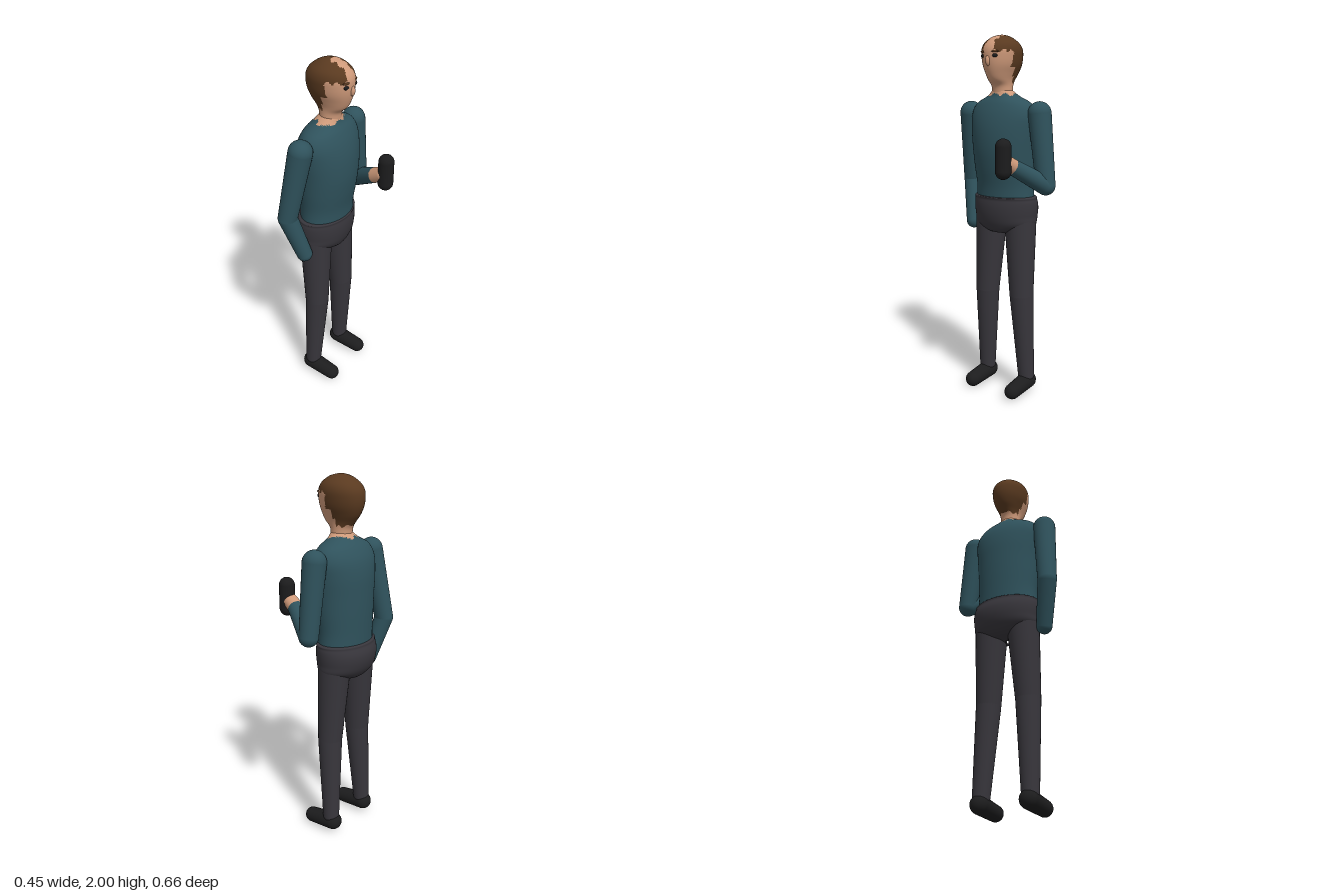
import * as THREE from 'three';

const COLORS = {
  sweater: 0x2f525c, trousers: 0x38363c, shoe: 0x1d1d1e, hair: 0x5a3a20, skin: 0xcf9a7a, dark: 0x1c1c1d,
};
const materials = {};
for (const key in COLORS) materials[key] = new THREE.MeshStandardMaterial({ color: COLORS[key] });

function addMesh(parent, name, geometry, material) {
  const mesh = new THREE.Mesh(geometry, materials[material]);
  mesh.name = name;
  parent.add(mesh);
  return mesh;
}

// Smooth stack of ellipses; each row is [y, back x, front x, half width in z]
function loft(rows, steps = 40, sides = 56) {
  const curve = (k) => new THREE.CatmullRomCurve3(
    rows.map((r) => new THREE.Vector3(r[k], r[0], r[3])), false, 'catmullrom', 0.5);
  const back = curve(1), front = curve(2);
  const pos = [], index = [];
  for (let j = 0; j <= steps; j++) {
    const b = back.getPoint(j / steps), f = front.getPoint(j / steps);
    for (let i = 0; i < sides; i++) {
      const a = (i / sides) * Math.PI * 2;
      pos.push((b.x + f.x) / 2 + ((f.x - b.x) / 2) * Math.cos(a), b.y, b.z * Math.sin(a));
      if (j === steps) continue;
      const p = j * sides + i, q = j * sides + ((i + 1) % sides);
      index.push(p, p + sides, q, q, p + sides, q + sides);
    }
  }
  const geometry = new THREE.BufferGeometry();
  geometry.setAttribute('position', new THREE.Float32BufferAttribute(pos, 3));
  geometry.setIndex(index);
  geometry.computeVertexNormals();
  return geometry;
}

// Splits a geometry's faces in two by a rule on the face centre
function split(geometry, rule) {
  const p = geometry.attributes.position, idx = geometry.index.array;
  const yes = [], no = [];
  for (let t = 0; t < idx.length; t += 3) {
    const c = new THREE.Vector3();
    for (let k = 0; k < 3; k++) c.add(new THREE.Vector3().fromBufferAttribute(p, idx[t + k]));
    c.divideScalar(3);
    (rule(c.x, c.y, c.z) ? yes : no).push(idx[t], idx[t + 1], idx[t + 2]);
  }
  return [yes, no].map((list) => geometry.clone().setIndex(list));
}

// Tapered round limb through joints [x, y, z, radius]
function addLimb(parent, name, joints, material) {
  const limb = new THREE.Group();
  limb.name = name;
  parent.add(limb);
  joints.forEach(([x, y, z, r], i) => {
    addMesh(limb, name + 'Joint', new THREE.SphereGeometry(r, 28, 18), material).position.set(x, y, z);
    if (i === 0) return;
    const [px, py, pz, pr] = joints[i - 1];
    const from = new THREE.Vector3(px, py, pz), to = new THREE.Vector3(x, y, z);
    const dir = to.clone().sub(from);
    const segment = addMesh(limb, name + 'Segment',
      new THREE.CylinderGeometry(r, pr, dir.length(), 28, 1, true), material);
    segment.position.copy(from).add(to).multiplyScalar(0.5);
    segment.quaternion.setFromUnitVectors(new THREE.Vector3(0, 1, 0), dir.normalize());
  });
  return limb;
}

export function createModel() {
  const model = new THREE.Group();
  model.name = 'standingFigure';

  // Sweater body, with an uneven collar edge showing the neck
  const torso = loft([
    [1.12, -0.2, 0.05, 0.175], [1.2, -0.202, 0.055, 0.172], [1.3, -0.205, 0.072, 0.18],
    [1.4, -0.206, 0.083, 0.187], [1.5, -0.204, 0.08, 0.197], [1.58, -0.19, 0.064, 0.2],
    [1.64, -0.16, 0.04, 0.17], [1.68, -0.125, 0.015, 0.095], [1.71, -0.1, 0.008, 0.055],
  ]);
  const [sweater, collarSkin] = split(torso, (x, y, z) => y < 1.688 + 0.008 * Math.sin(90 * z + 60 * x));
  addMesh(model, 'sweaterBody', sweater, 'sweater');
  addMesh(model, 'neckBase', collarSkin, 'skin');

  // Pelvis
  addMesh(model, 'trouserSeat', loft([
    [0.925, -0.09, -0.05, 0.012], [0.94, -0.165, 0.015, 0.1], [0.98, -0.203, 0.04, 0.18], [1.03, -0.222, 0.053, 0.19],
    [1.08, -0.225, 0.057, 0.194], [1.12, -0.213, 0.054, 0.19], [1.14, -0.2, 0.048, 0.172], [1.142, -0.1, -0.05, 0.01],
  ]), 'trousers');

  // Legs and shoes
  for (const s of [1, -1]) {
    const side = s > 0 ? 'right' : 'left';
    addLimb(model, side + 'Leg', [
      [-0.08, 1.0, s * 0.1, 0.089], [-0.067, 0.58, s * 0.12, 0.067], [-0.09, 0.1, s * 0.14, 0.046],
    ], 'trousers');
    addLimb(model, side + 'Shoe', [
      [-0.105, 0.065, s * 0.14, 0.049], [0.048, 0.045, s * 0.142, 0.043],
    ], 'shoe');
  }

  // Hanging arm and bent arm
  addLimb(model, 'hangingArm', [
    [-0.063, 1.59, 0.232, 0.063], [-0.128, 1.205, 0.276, 0.052], [-0.068, 0.968, 0.222, 0.043],
  ], 'sweater');
  addLimb(model, 'bentArm', [
    [-0.063, 1.59, -0.232, 0.063], [-0.06, 1.212, -0.278, 0.052], [0.105, 1.315, -0.192, 0.043],
  ], 'sweater');
  addLimb(model, 'hand', [[0.11, 1.318, -0.189, 0.042], [0.16, 1.345, -0.178, 0.04]], 'skin');

  // Rounded object held upright
  addMesh(model, 'heldObject', new THREE.CapsuleGeometry(0.042, 0.126, 12, 32), 'dark')
    .position.set(0.182, 1.364, -0.178);

  // Head: hair is the upper and rear part, with a bald strip on the crown
  const skull = loft([
    [1.66, -0.1, 0.01, 0.056], [1.7, -0.102, 0.01, 0.056], [1.735, -0.108, 0.018, 0.056],
    [1.765, -0.128, 0.05, 0.061], [1.8, -0.154, 0.068, 0.074], [1.84, -0.171, 0.08, 0.09],
    [1.88, -0.177, 0.085, 0.098], [1.92, -0.172, 0.083, 0.1], [1.955, -0.148, 0.064, 0.087],
    [1.985, -0.104, 0.024, 0.052], [1.997, -0.065, -0.018, 0.022], [2.0, -0.042, -0.041, 0.001],
  ], 60, 72);
  const [hair, face] = split(skull, (x, y, z) => {
    const jag = 0.007 * Math.sin(170 * x + 40 * y);
    if (x > -0.035 && Math.abs(z) < 0.026 + jag) return false;
    if (y > 1.912 + jag) return true;
    if (x < -0.01 + jag && y > 1.83) return true;
    return x < -0.05 + jag && y > 1.745 + jag;
  });
  const head = new THREE.Group();
  head.name = 'head';
  model.add(head);
  addMesh(head, 'hair', hair, 'hair');
  addMesh(head, 'face', face, 'skin');

  // Nose, eyes and brows
  const nose = addMesh(head, 'nose', new THREE.SphereGeometry(1, 20, 14), 'skin');
  nose.scale.set(0.018, 0.028, 0.014);
  nose.position.set(0.078, 1.862, 0);
  for (const s of [1, -1]) {
    const eye = addMesh(head, 'eye', new THREE.SphereGeometry(1, 16, 10), 'dark');
    eye.scale.set(0.007, 0.01, 0.014);
    eye.position.set(0.073, 1.887, s * 0.04);
    eye.rotation.y = -s * 0.4;
    const brow = addMesh(head, 'brow', new THREE.SphereGeometry(1, 16, 10), 'hair');
    brow.scale.set(0.006, 0.006, 0.02);
    brow.position.set(0.073, 1.908, s * 0.04);
    brow.rotation.y = -s * 0.4;
  }
  return model;
}
